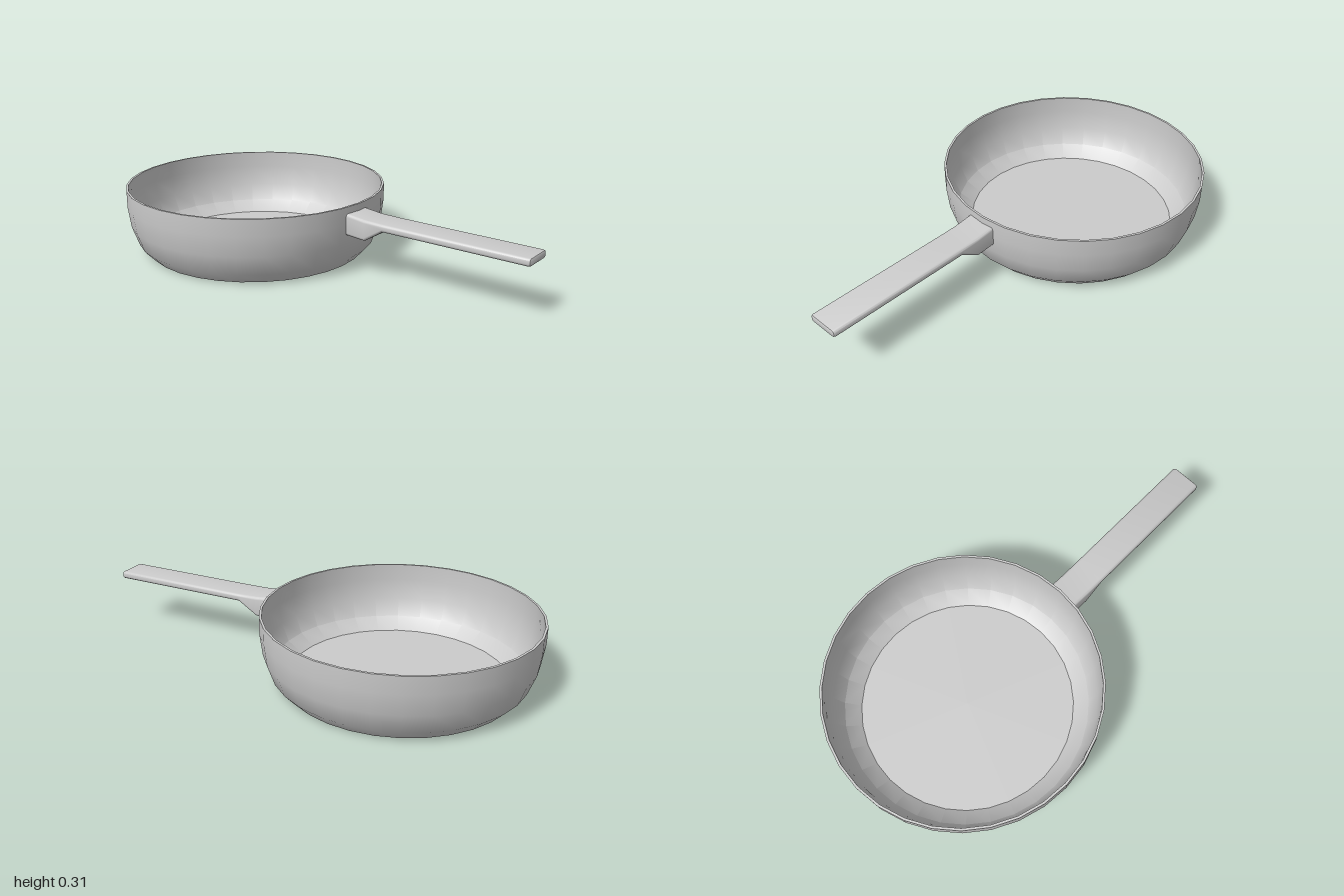
import * as THREE from 'three';
import { toCreasedNormals } from 'three/addons/utils/BufferGeometryUtils.js';

const material = new THREE.MeshStandardMaterial({ color: 0xcccccc });

function addPart(group, name, geometry, crease) {
  const mesh = new THREE.Mesh(toCreasedNormals(geometry, crease), material);
  mesh.name = name;
  group.add(mesh);
  return mesh;
}

// Rounded rectangle, counter-clockwise when seen from +z
function roundedSection(z, halfWidth, bottom, top, radius, steps = 4) {
  const points = [];
  const cy = (top + bottom) / 2, halfHeight = (top - bottom) / 2;
  [[1, 1], [-1, 1], [-1, -1], [1, -1]].forEach(([sx, sy], corner) => {
    for (let i = 0; i <= steps; i++) {
      const a = (corner + i / steps) * Math.PI / 2;
      points.push([
        sx * (halfWidth - radius) + radius * Math.cos(a),
        cy + sy * (halfHeight - radius) + radius * Math.sin(a), z]);
    }
  });
  return points;
}

// Skin a run of sections ordered from back (low z) to front, with flat caps
function loft(sections) {
  const n = sections[0].length, positions = sections.flat(2), index = [];
  for (let s = 0; s < sections.length - 1; s++) {
    for (let i = 0; i < n; i++) {
      const a = s * n + i, b = s * n + (i + 1) % n;
      index.push(a, b, b + n, a, b + n, a + n);
    }
  }
  const last = (sections.length - 1) * n;
  for (let i = 1; i < n - 1; i++) {
    index.push(0, i + 1, i, last, last + i, last + i + 1);
  }
  const geometry = new THREE.BufferGeometry();
  geometry.setAttribute('position', new THREE.Float32BufferAttribute(positions, 3));
  geometry.setIndex(index);
  return geometry;
}

export function createModel() {
  const pan = new THREE.Group();
  pan.name = 'fryingPan';

  // Bowl: outside wall, thin rim, inside wall and floor
  const profile = [
    [0, 0], [0.5, 0], [0.547, 0.05], [0.578, 0.138], [0.59, 0.23], [0.59, 0.305],
    [0.58, 0.305], [0.58, 0.23], [0.568, 0.14], [0.535, 0.06], [0.47, 0.012], [0, 0.012],
  ].map(([x, y]) => new THREE.Vector2(x, y));
  const bowl = addPart(pan, 'bowl', new THREE.LatheGeometry(profile, 32), 0.55);
  bowl.position.z = -0.41;

  // Handle: deep root at the wall, tapering to a flat bar with a softened tip
  const stations = [
    // z, half width, bottom, top, corner radius
    [0.171, 0.07, 0.18, 0.275, 0.013],
    [0.26, 0.07, 0.174, 0.265, 0.013],
    [0.35, 0.07, 0.23, 0.263, 0.012],
    [0.992, 0.07, 0.23, 0.263, 0.012],
    [0.998, 0.067, 0.232, 0.261, 0.011],
    [1.0, 0.063, 0.235, 0.258, 0.009],
  ];
  const handle = addPart(pan, 'handle', loft(stations.map(s => roundedSection(...s))), 0.6);
  handle.position.x = -0.015;

  return pan;
}
